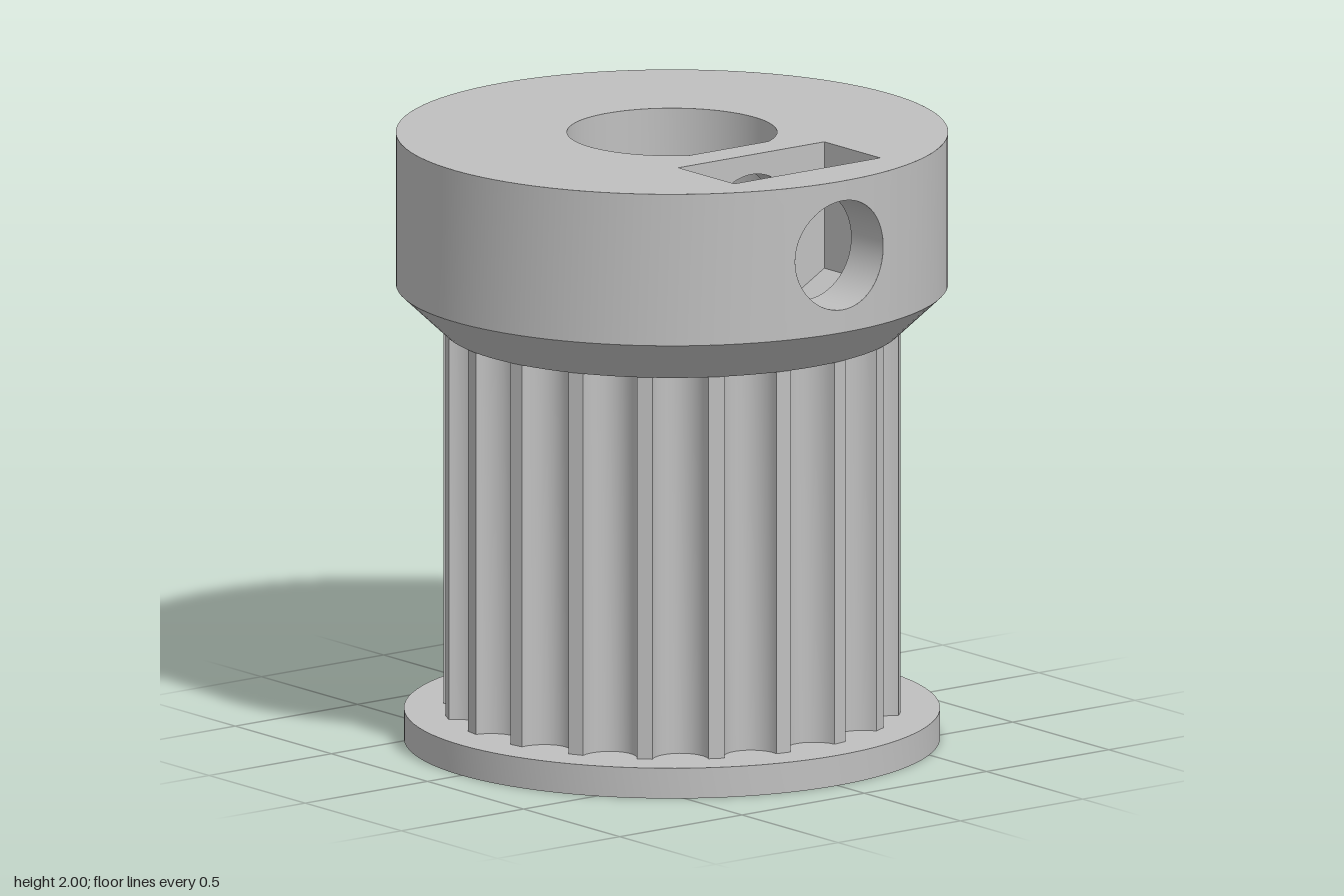
import * as THREE from 'three';
import { toCreasedNormals } from 'three/addons/utils/BufferGeometryUtils.js';
import { ParametricGeometry } from 'three/addons/geometries/ParametricGeometry.js';

const HUB_R = 0.888, BORE_R = 0.338, FLAT_X = 0.297, FLANGE_R = 0.862;
const TOOTH_R = 0.737, TEETH = 20, GROOVE_DEPTH = 0.088;
const Y_FLANGE = 0.1, Y_TAPER = 1.36, Y_HUB = 1.5, Y_TOP = 2;
const SCREW_R = 0.18, SCREW_Y = 1.755;
const SLOT_IN = 0.413, SLOT_OUT = 0.703, SLOT_W = 0.298;
const PATCH = 0.25; // half width of the wall patches around the screw hole

const vec = (x, y) => new THREE.Vector2(x, y);
const arc = (r, a0, a1, n) => Array.from({ length: n + 1 }, (_, i) => {
  const a = a0 + (a1 - a0) * i / n;
  return vec(r * Math.cos(a), r * Math.sin(a));
});

// D-shaped bore outline
function borePath() {
  const a = Math.acos(FLAT_X / BORE_R);
  return new THREE.Path(arc(BORE_R, a, Math.PI * 2 - a, 72));
}

function disc(r) {
  return new THREE.Shape(arc(r, 0, Math.PI * 2, 96).slice(0, -1));
}

// Toothed outline: narrow lands between rounded grooves
function toothShape() {
  const pts = [], half = THREE.MathUtils.degToRad(7);
  for (let i = 0; i < TEETH; i++) {
    const mid = i * Math.PI * 2 / TEETH;
    for (let k = 0; k <= 12; k++) {
      const t = Math.PI * k / 12;
      const a = mid - half * Math.cos(t);
      const r = TOOTH_R - GROOVE_DEPTH * Math.sin(t);
      pts.push(vec(r * Math.cos(a), r * Math.sin(a)));
    }
  }
  return new THREE.Shape(pts);
}

function extrudeUp(shape, y0, y1) {
  shape.holes.push(borePath());
  return new THREE.ExtrudeGeometry(shape, { depth: y1 - y0, bevelEnabled: false })
    .rotateX(-Math.PI / 2).translate(0, y0, 0);
}

const hubX = z => Math.sqrt(HUB_R * HUB_R - z * z);
const boreX = z => Math.min(FLAT_X, Math.sqrt(BORE_R * BORE_R - z * z));

// Wall patch with the round screw hole, laid on the surface x = xOf(z)
function holedPatch(xOf, y0, dir) {
  return new ParametricGeometry((u, v, p) => {
    const t = dir * u * Math.PI * 2, c = Math.cos(t), s = Math.sin(t);
    const m = Math.max(Math.abs(c), Math.abs(s));
    const edgeY = SCREW_Y + s / m * (s > 0 ? Y_TOP - SCREW_Y : SCREW_Y - y0);
    const z = THREE.MathUtils.lerp(SCREW_R * c, PATCH * c / m, v);
    p.set(xOf(z), THREE.MathUtils.lerp(SCREW_Y + SCREW_R * s, edgeY, v), z);
  }, 96, 8);
}

// Rest of a round wall, leaving the patch open towards +x
function openWall(r, y0) {
  const a = Math.asin(PATCH / r);
  return new THREE.CylinderGeometry(r, r, Y_TOP - y0, 88, 1, true,
    Math.PI / 2 + a, Math.PI * 2 - 2 * a).translate(0, (y0 + Y_TOP) / 2, 0);
}

// Inside of the screw hole between two surfaces
function screwTube(xFrom, xTo) {
  return new ParametricGeometry((u, v, p) => {
    const t = u * Math.PI * 2, z = SCREW_R * Math.cos(t);
    p.set(THREE.MathUtils.lerp(xFrom(z), xTo(z), v), SCREW_Y + SCREW_R * Math.sin(t), z);
  }, 64, 1);
}

// Nut slot section in z and y: straight sides, V-shaped floor
const slotSection = [
  vec(-SLOT_W, Y_TOP), vec(-SLOT_W, SCREW_Y - 0.172), vec(0, SCREW_Y - 0.344),
  vec(SLOT_W, SCREW_Y - 0.172), vec(SLOT_W, Y_TOP),
];

function slotSides() {
  return new ParametricGeometry((u, v, p) => {
    const q = slotSection[Math.round(u * 4)];
    p.set(v < 0.5 ? SLOT_IN : SLOT_OUT, q.y, q.x);
  }, 4, 1);
}

function slotEnd(x, turn) {
  const shape = new THREE.Shape(slotSection);
  shape.holes.push(new THREE.Path(
    arc(SCREW_R, 0, Math.PI * 2, 64).slice(0, -1).map(q => vec(q.x, q.y + SCREW_Y))));
  return new THREE.ShapeGeometry(shape).rotateY(turn * Math.PI / 2).translate(x, 0, 0);
}

export function createModel() {
  const metal = new THREE.MeshStandardMaterial({ color: 0xbfbfbf, side: THREE.DoubleSide });
  metal.name = 'grey metal';
  const model = new THREE.Group();
  model.name = 'timingPulley';
  const hub = new THREE.Group();
  hub.name = 'hub';
  model.add(hub);

  const add = (parent, name, geometry) => {
    const mesh = new THREE.Mesh(toCreasedNormals(geometry, 0.6), metal);
    mesh.name = name;
    parent.add(mesh);
  };

  // Flange and toothed drum
  add(model, 'flange', extrudeUp(disc(FLANGE_R), 0, Y_FLANGE));
  add(model, 'toothedDrum', extrudeUp(toothShape(), Y_FLANGE, Y_TAPER));

  // Hub shell
  add(hub, 'hubTaper', new THREE.LatheGeometry(
    [vec(0.5, Y_TAPER), vec(0.74, Y_TAPER), vec(HUB_R, Y_HUB)], 96));
  add(hub, 'hubWall', openWall(HUB_R, Y_HUB));
  add(hub, 'hubWallAroundScrew', holedPatch(hubX, Y_HUB, 1));

  // Top face with bore and slot openings
  const top = disc(HUB_R);
  top.holes.push(borePath(), new THREE.Path([
    vec(SLOT_IN, -SLOT_W), vec(SLOT_IN, SLOT_W), vec(SLOT_OUT, SLOT_W), vec(SLOT_OUT, -SLOT_W),
  ]));
  add(hub, 'hubTop', new THREE.ShapeGeometry(top).rotateX(-Math.PI / 2).translate(0, Y_TOP, 0));

  // Bore wall inside the hub, turned to face inwards
  const bore = openWall(BORE_R, Y_TAPER);
  bore.setIndex(Array.from(bore.index.array).reverse());
  add(hub, 'boreWall', bore);
  add(hub, 'boreWallAroundScrew', holedPatch(boreX, Y_TAPER, -1));

  // Nut slot and the screw hole that crosses it
  add(hub, 'nutSlotSides', slotSides());
  add(hub, 'nutSlotInnerEnd', slotEnd(SLOT_IN, 1));
  add(hub, 'nutSlotOuterEnd', slotEnd(SLOT_OUT, -1));
  add(hub, 'screwHoleInner', screwTube(boreX, () => SLOT_IN));
  add(hub, 'screwHoleOuter', screwTube(() => SLOT_OUT, hubX));

  return model;
}
